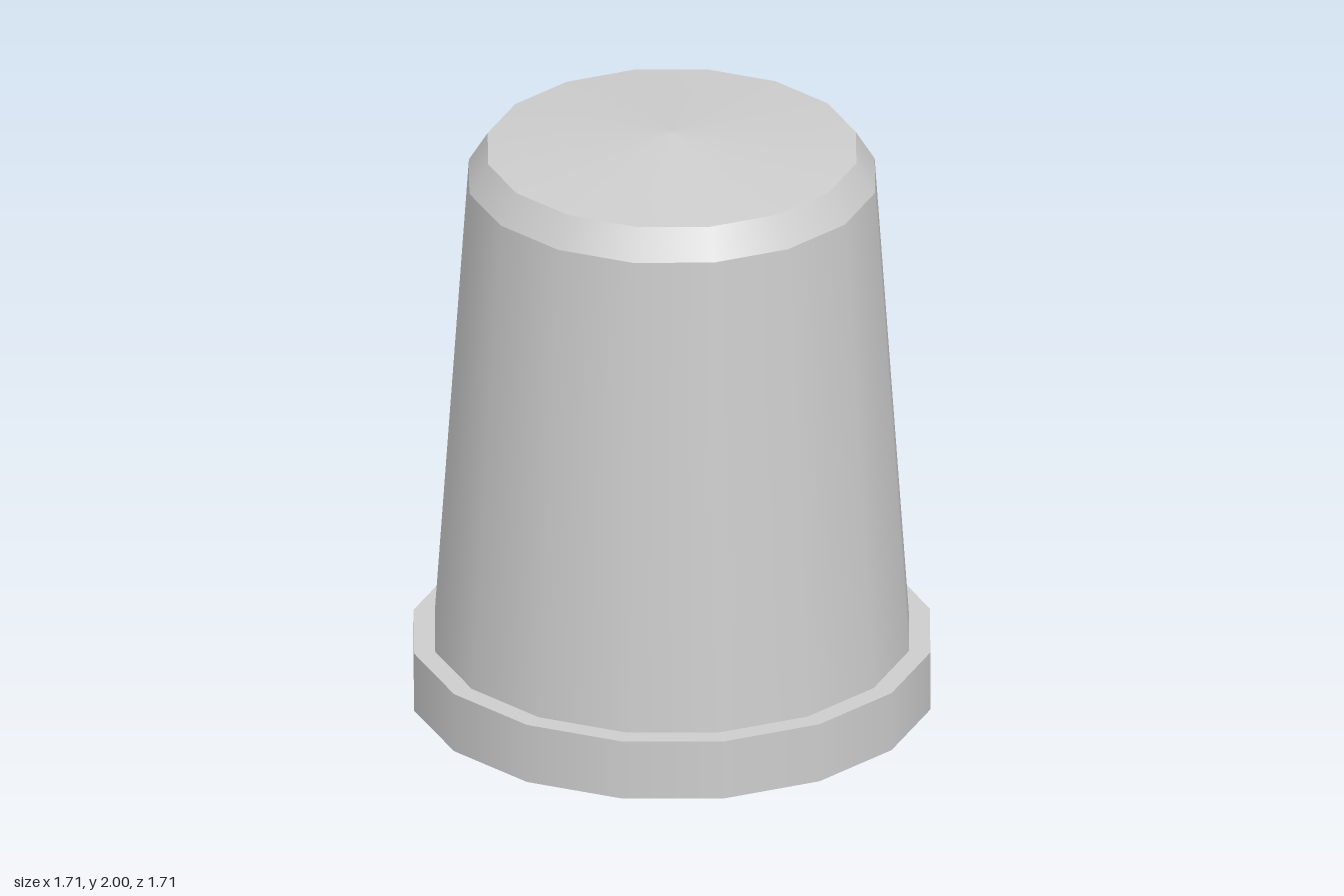
import * as THREE from 'three';

const SIDES = 16;

export function createModel() {
  const group = new THREE.Group();
  group.name = 'taperedCap';
  const grey = new THREE.MeshStandardMaterial({ color: 0xcccccc });
  grey.name = 'lightGrey';

  // One ring of the turned shape, from height y0 (radius r0) to y1 (radius r1)
  const addRing = (name, r0, y0, r1, y1, open = true) => {
    const geometry = new THREE.CylinderGeometry(r1, r0, y1 - y0, SIDES, 1, open);
    geometry.translate(0, (y0 + y1) / 2, 0);
    const mesh = new THREE.Mesh(geometry, grey);
    mesh.name = name;
    group.add(mesh);
  };

  // Wide foot with closed top and bottom
  addRing('baseRim', 0.855, 0, 0.855, 0.205, false);
  // Tapered wall, chamfered shoulder and shallow pointed lid
  addRing('taperedBody', 0.785, 0.205, 0.672, 1.84);
  addRing('shoulderBevel', 0.672, 1.84, 0.61, 1.94);
  addRing('shallowLid', 0.61, 1.94, 0, 2);

  return group;
}
